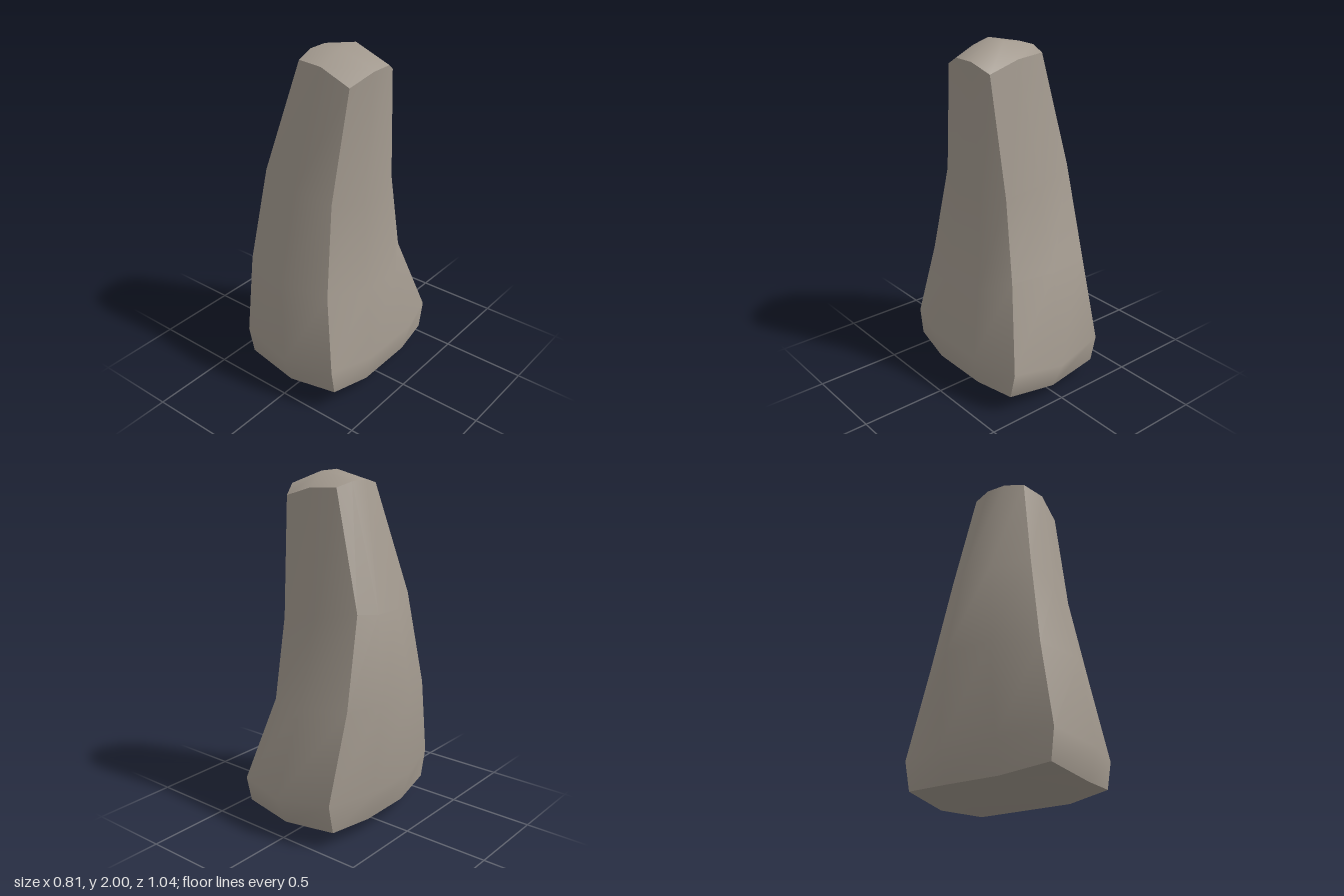
import * as THREE from 'three';

// Five levels from base to tip. Corners are [x, y, z]; front and back middles are [x, y, z];
// sides are [x, y, half spread in z] and stand for two points each.
const levels = [
  { frontLeft: [0.32, 0.13, 0.43], frontRight: [-0.30, 0.13, 0.43], backLeft: [0.32, 0.105, -0.425], backRight: [-0.30, 0.10, -0.425],
    front: [0.025, 0.10, 0.465], back: [0.025, 0.07, -0.45], left: [0.36, 0.095, 0.18], right: [-0.34, 0.09, 0.16] },
  { frontLeft: [0.32, 0.28, 0.455], frontRight: [-0.31, 0.30, 0.455], backLeft: [0.32, 0.26, -0.46], backRight: [-0.30, 0.27, -0.46],
    front: [0.025, 0.27, 0.52], back: [0.025, 0.24, -0.525], left: [0.40, 0.27, 0.19], right: [-0.39, 0.27, 0.17] },
  { frontLeft: [0.24, 0.71, 0.39], frontRight: [-0.315, 0.76, 0.39], backLeft: [0.215, 0.73, -0.31], backRight: [-0.305, 0.77, -0.31],
    front: [-0.03, 0.75, 0.465], back: [-0.03, 0.75, -0.38], left: [0.32, 0.66, 0.14], right: [-0.405, 0.79, 0.14] },
  { frontLeft: [0.195, 1.23, 0.295], frontRight: [-0.255, 1.31, 0.305], backLeft: [0.20, 1.20, -0.24], backRight: [-0.28, 1.28, -0.195],
    front: [-0.03, 1.26, 0.33], back: [-0.03, 1.23, -0.255], left: [0.265, 1.18, 0.10], right: [-0.34, 1.27, 0.09] },
  { frontLeft: [0.235, 1.86, 0.20], frontRight: [-0.11, 1.93, 0.18], backLeft: [0.24, 1.865, -0.16], backRight: [-0.11, 1.93, -0.16],
    front: [0.06, 1.935, 0.21], back: [0.06, 1.92, -0.17], left: [0.285, 1.92, 0.065], right: [-0.135, 1.955, 0.06] },
];

// Maps a box grid point (i across, j up, k back to front) to the rock surface
function rockPoint(i, j, k) {
  const level = levels[j];
  if (k === 0) return [level.backRight, level.back, level.backLeft][i];
  if (k === 3) return [level.frontRight, level.front, level.frontLeft][i];
  const sign = k === 1 ? -1 : 1;
  if (i === 1) {
    // Ridge over the tip, shallow keel under the base
    return j === 4 ? [0.07, 2, sign * 0.065] : [0.025, k === 1 ? 0 : 0.02, k === 1 ? -0.18 : 0.21];
  }
  const [x, y, spread] = i === 0 ? level.right : level.left;
  return [x, y, sign * spread];
}

export function createModel() {
  const group = new THREE.Group();
  group.name = 'standingRock';

  const stone = new THREE.MeshStandardMaterial({ color: 0xa39a8f });
  stone.name = 'warm grey stone';

  // Each of the six box sides stays smooth, with sharp edges between them
  const geometry = new THREE.BoxGeometry(1, 1, 1, 2, 4, 3);
  const pos = geometry.attributes.position;
  for (let n = 0; n < pos.count; n++) {
    const i = Math.round((pos.getX(n) + 0.5) * 2);
    const j = Math.round((pos.getY(n) + 0.5) * 4);
    const k = Math.round((pos.getZ(n) + 0.5) * 3);
    pos.setXYZ(n, ...rockPoint(i, j, k));
  }
  geometry.clearGroups();
  geometry.computeVertexNormals();

  const rock = new THREE.Mesh(geometry, stone);
  rock.name = 'rock';
  group.add(rock);
  return group;
}
